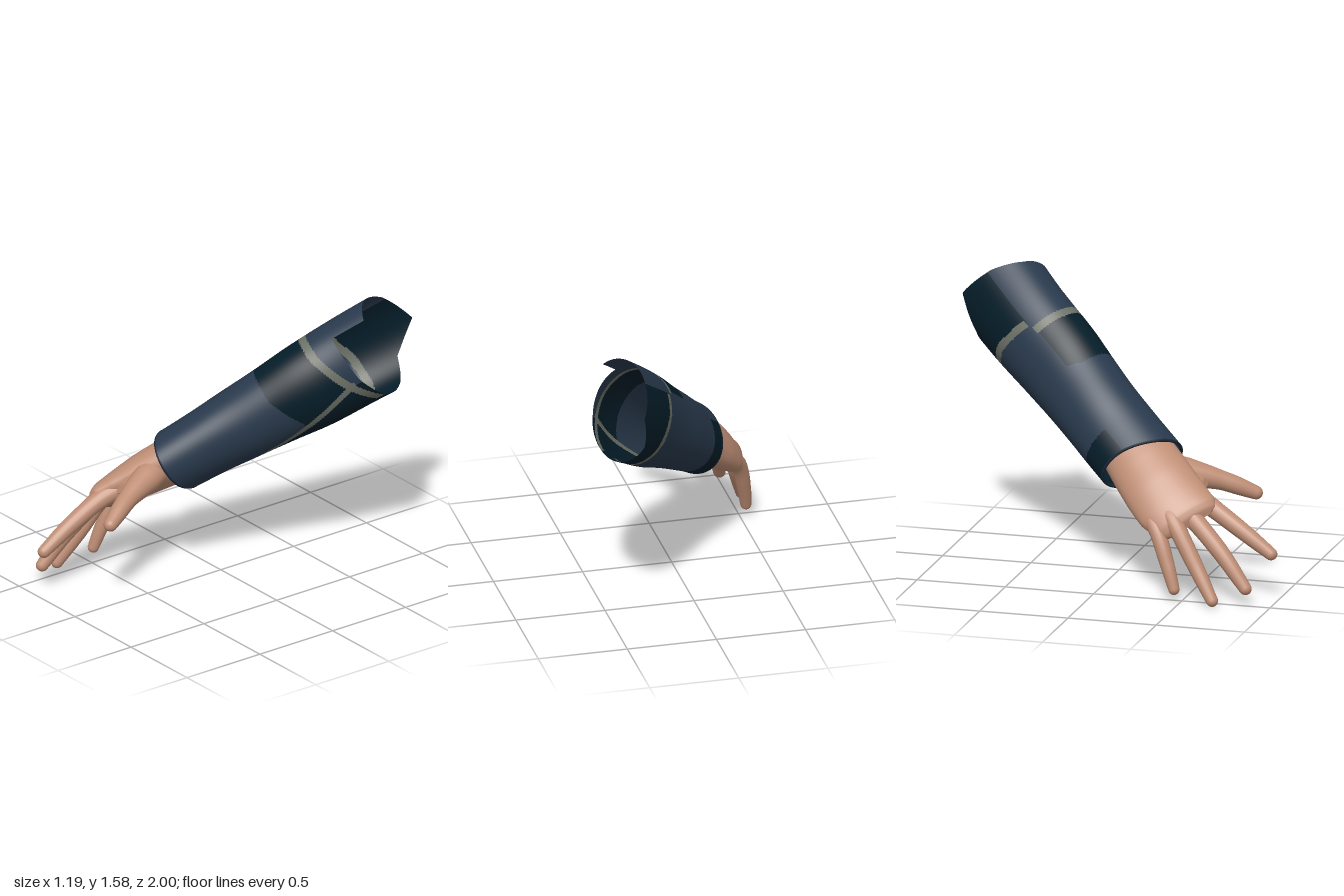
import * as THREE from 'three';

const V = (x, y, z) => new THREE.Vector3(x, y, z);
const { lerp, degToRad } = THREE.MathUtils;
const mat = (name, color, side = THREE.FrontSide) => {
  const m = new THREE.MeshStandardMaterial({ color, side });
  m.name = name;
  return m;
};

// Piecewise linear lookup in rows of [key, value, value, ...]
function table(rows, k, col = 1) {
  if (k <= rows[0][0]) return rows[0][col];
  for (let i = 1; i < rows.length; i++) {
    const a = rows[i - 1], b = rows[i];
    if (k <= b[0]) return lerp(a[col], b[col], (k - a[0]) / (b[0] - a[0]));
  }
  return rows[rows.length - 1][col];
}

// Closed skin through rings of { c, a, b }: centre and two half axes
function loft(rings, sides = 24) {
  const pos = [], idx = [];
  rings.forEach(({ c, a, b }, i) => {
    for (let j = 0; j < sides; j++) {
      const t = (j / sides) * Math.PI * 2;
      const p = c.clone().addScaledVector(a, Math.cos(t)).addScaledVector(b, Math.sin(t));
      pos.push(p.x, p.y, p.z);
      if (i === 0) continue;
      const k = (j + 1) % sides, lo = (i - 1) * sides, hi = i * sides;
      idx.push(lo + j, lo + k, hi + k, lo + j, hi + k, hi + j);
    }
  });
  const g = new THREE.BufferGeometry();
  g.setAttribute('position', new THREE.Float32BufferAttribute(pos, 3));
  g.setIndex(idx);
  g.computeVertexNormals();
  return g;
}

// Finger: round tapering tube with a domed tip
function finger(points, radii) {
  const curve = new THREE.CatmullRomCurve3(points);
  const n = 28, f = curve.computeFrenetFrames(n);
  const rad = radii.map((r, i) => [i / (radii.length - 1), r]);
  const rings = [];
  const add = (c, i, r) => rings.push({
    c, a: f.normals[i].clone().multiplyScalar(r), b: f.binormals[i].clone().multiplyScalar(r),
  });
  for (let i = 0; i <= n; i++) add(curve.getPointAt(i / n), i, table(rad, i / n));
  const end = points[points.length - 1], r = radii[radii.length - 1];
  for (let k = 1; k <= 6; k++) {
    const t = (k / 6) * Math.PI / 2;
    add(end.clone().addScaledVector(f.tangents[n], r * Math.sin(t)), n, Math.max(r * Math.cos(t), 0.0005));
  }
  return loft(rings, 18);
}

// Flattened flesh: stations along a curve with rows of [t, half width, half thickness]
function flatLoft(points, size, wide, back) {
  const curve = new THREE.CatmullRomCurve3(points), rings = [];
  for (let i = 0; i <= 30; i++) {
    const t = i / 30;
    rings.push({
      c: curve.getPoint(t),
      a: wide.clone().setLength(table(size, t, 1)),
      b: back.clone().setLength(table(size, t, 2)),
    });
  }
  return loft(rings, 40);
}

// Forearm axis and the two directions across it
const origin = V(-0.13, 0.67, 0.17);
const axis = V(0.485, 0.51, -0.71).normalize();
const across = V(0.826, 0, 0.564).normalize();
const over = across.clone().cross(axis).normalize();

// Sleeve sections: distance, long radius, short radius, tilt in degrees, sideways shift
const sections = [
  [-0.08, 0.229, 0.173, 38, -0.016], [0.18, 0.228, 0.182, 45, -0.02], [0.4, 0.23, 0.195, 57, -0.018],
  [0.6, 0.242, 0.201, 68, -0.012], [0.8, 0.26, 0.208, 76, -0.008],
  [1.1, 0.273, 0.211, 78, -0.016], [1.46, 0.285, 0.218, 78, 0],
];
const profile = new THREE.CubicInterpolant(sections.map((r) => r[0]), sections.flatMap((r) => r.slice(1)), 4);
// Torn upper edge: angle in degrees, distance
const rim = [
  [60, 1.285], [93, 1.32], [130, 1.39], [190, 1.455], [225, 1.275],
  [256, 1.235], [296, 1.155], [351, 1.1], [420, 1.082],
];
const cuffStart = (deg) => -0.02 - 0.06 * Math.cos(degToRad(deg - 15));

function sleevePoint(s, deg, grow = 0) {
  const [a, b, tilt, shift] = profile.evaluate(s);
  const t = degToRad(deg - tilt);
  const r = a * b / Math.hypot(b * Math.cos(t), a * Math.sin(t)) + grow;
  return origin.clone().addScaledVector(axis, s)
    .addScaledVector(across, r * Math.cos(degToRad(deg)) + shift)
    .addScaledVector(over, r * Math.sin(degToRad(deg)));
}

// Sleeve pattern: 0 blue cloth, 1 dark panel, 2 pale stripe
const topStripe = [[-13, 1.035], [20, 0.985], [50, 0.94], [90, 0.92], [135, 0.925]];
const underStripe = [[138, 0.995], [170, 1.02], [200, 1.05], [240, 1.065], [284, 1.035]];
const sideSeam = [[0.2, -86], [0.35, -75], [1.04, -13]];
const bandEdge = [[-30, 0.7], [30, 0.61], [70, 0.6], [110, 0.595], [132, 0.635]];
function paint(s, deg) {
  const q = deg > 260 ? deg - 360 : deg;
  const half = 0.024, c1 = table(topStripe, q), c2 = table(underStripe, deg), seam = table(sideSeam, s);
  if (q >= -13 && q <= 135 && Math.abs(s - c1) < half) return 2;
  if (q >= -64 && q < -13 && Math.abs(s - lerp(1.125, 1.035, (q + 62) / 49)) < half) return 2;
  if (deg >= 138 && deg <= 284 && Math.abs(s - c2) < half) return 2;
  if (s > 0.35 && s < 1.065 && Math.abs(q - seam) < 5) return 2;
  if (q > seam && q < 132 && s < c1 && s > table(bandEdge, q)) return 1;
  if (q > -100 && q < seam && s > 0.2) return 1;
  if (deg > 137 && deg < 266 && s > c2) return 1;
  if (deg > 147 && deg < 268 && s < 0.19) return 1;
  return 0;
}

function sleeveGeometry() {
  const cols = 240, rows = 200, pos = [], parts = [[], [], []];
  const at = (i, j) => {
    const deg = 60 + (360 * j) / cols;
    return [lerp(cuffStart(deg), table(rim, deg), i / rows), deg];
  };
  for (let i = 0; i <= rows; i++) {
    for (let j = 0; j <= cols; j++) {
      const p = sleevePoint(...at(i, j));
      pos.push(p.x, p.y, p.z);
      if (i === rows || j === cols) continue;
      const a = i * (cols + 1) + j, d = a + cols + 1;
      parts[paint(...at(i + 0.5, j + 0.5))].push(a, d + 1, a + 1, a, d, d + 1);
    }
  }
  const g = new THREE.BufferGeometry();
  g.setAttribute('position', new THREE.Float32BufferAttribute(pos, 3));
  g.setIndex(parts.flat());
  let start = 0;
  parts.forEach((p, i) => { g.addGroup(start, p.length, i); start += p.length; });
  g.computeVertexNormals();
  return g;
}

export function createModel() {
  const group = new THREE.Group();
  const skin = mat('skin', 0xc08f76);
  const cloth = mat('blue cloth', 0x293a4d, THREE.DoubleSide);
  const panel = mat('dark panel', 0x051d29, THREE.DoubleSide);
  const stripe = mat('pale stripe', 0x6d7267, THREE.DoubleSide);
  const trim = mat('navy hem', 0x1a2838);
  const add = (name, geometry, material) => {
    const m = new THREE.Mesh(geometry, material);
    m.name = name;
    group.add(m);
  };

  add('sleeve', sleeveGeometry(), [cloth, panel, stripe]);

  // Rolled hem around the cuff
  const hem = [];
  for (let d = 0; d < 360; d += 10) hem.push(sleevePoint(cuffStart(d) + 0.002, d, -0.008));
  add('cuffHem', new THREE.TubeGeometry(new THREE.CatmullRomCurve3(hem, true), 96, 0.009, 8, true), trim);

  // Palm, from inside the cuff to the knuckles
  add('palm', flatLoft(
    [V(-0.09, 0.73, 0.1), V(-0.172, 0.652, 0.2), V(-0.265, 0.57, 0.305), V(-0.343, 0.492, 0.405), V(-0.393, 0.442, 0.49), V(-0.417, 0.41, 0.538)],
    [[0, 0.185, 0.135], [0.2, 0.2, 0.13], [0.4, 0.207, 0.115], [0.6, 0.207, 0.094], [0.8, 0.192, 0.07], [0.93, 0.165, 0.048], [1, 0.11, 0.008]],
    V(0.48, 0.48, 0.73), V(-0.735, 0.678, 0.03)), skin);

  // Flesh between thumb and index finger
  add('thumbWeb', flatLoft(
    [V(-0.17, 0.65, 0.24), V(-0.175, 0.605, 0.38), V(-0.172, 0.572, 0.48), V(-0.175, 0.555, 0.545)],
    [[0, 0.06, 0.07], [0.33, 0.09, 0.082], [0.66, 0.1, 0.06], [0.85, 0.1, 0.04], [1, 0.09, 0.004]],
    V(0.92, 0.38, 0), V(-0.35, 0.86, 0.32)), skin);

  // Fingers
  const radii = [0.05, 0.056, 0.05, 0.048, 0.043, 0.035];
  const digits = [
    ['indexFinger', 1, [V(-0.235, 0.56, 0.44), V(-0.285, 0.5, 0.58), V(-0.317, 0.385, 0.77), V(-0.333, 0.258, 0.957)]],
    ['middleFinger', 1, [V(-0.31, 0.53, 0.4), V(-0.385, 0.44, 0.53), V(-0.445, 0.27, 0.71), V(-0.482, 0.094, 0.855)]],
    ['ringFinger', 0.95, [V(-0.36, 0.52, 0.34), V(-0.45, 0.41, 0.45), V(-0.513, 0.2, 0.585), V(-0.565, 0.035, 0.69)]],
    ['littleFinger', 0.88, [V(-0.36, 0.49, 0.25), V(-0.46, 0.378, 0.347), V(-0.51, 0.2, 0.422), V(-0.533, 0.074, 0.465)]],
  ];
  for (const [name, k, pts] of digits) add(name, finger(pts, radii.map((r) => r * k)), skin);
  add('thumb', finger(
    [V(-0.17, 0.67, 0.22), V(-0.125, 0.625, 0.4), V(-0.055, 0.57, 0.6), V(0.018, 0.495, 0.77)],
    [0.04, 0.078, 0.082, 0.068, 0.054, 0.049, 0.038]), skin);

  return group;
}
